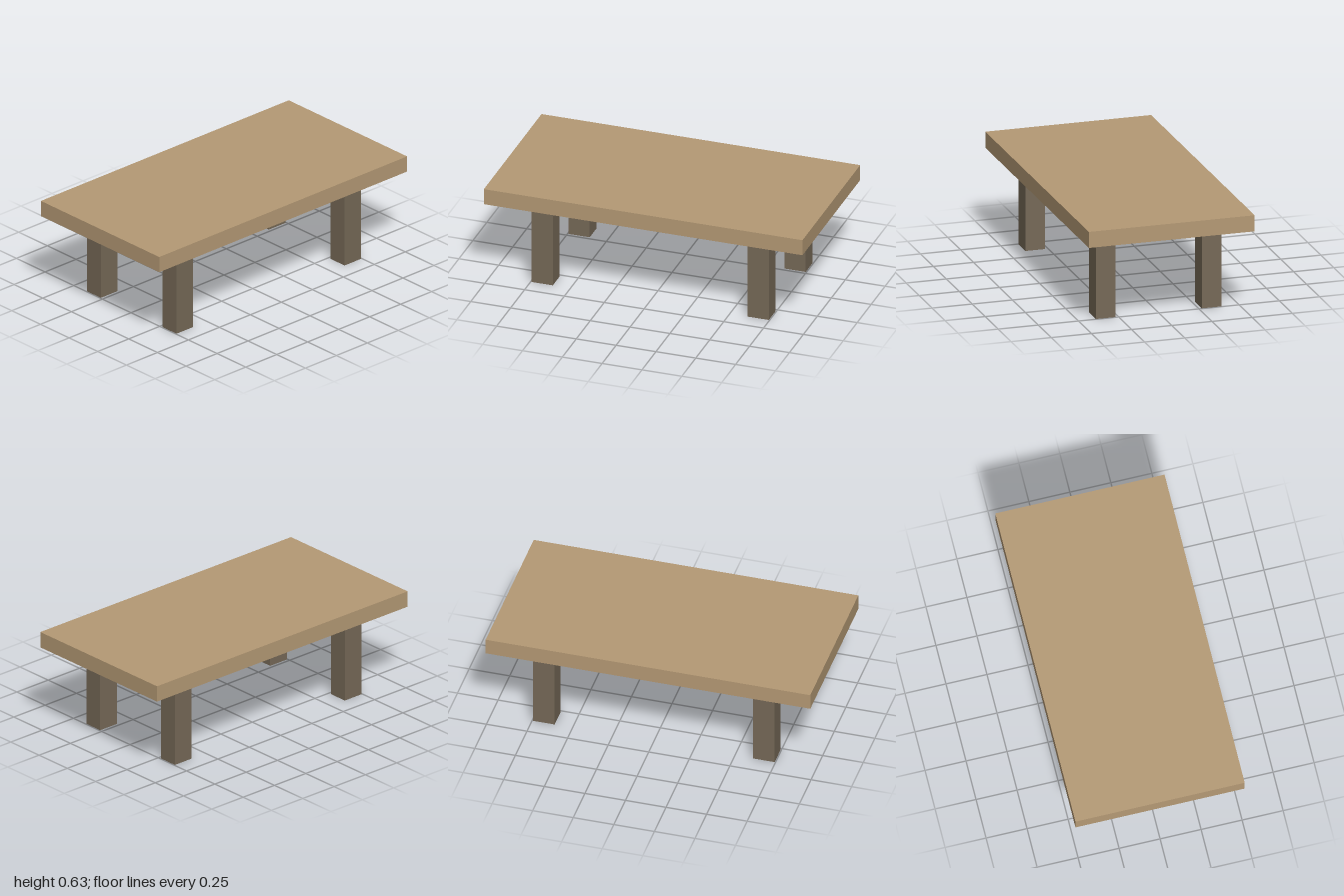
import * as THREE from 'three';

const TOP = { width: 2, height: 0.1, depth: 1.032 };
const LEG = { width: 0.134, height: 0.535, depth: 0.122 };
const LEG_X = 0.678;
const LEG_Z = 0.33;

export function createModel() {
  const table = new THREE.Group();
  table.name = 'table';

  const topMaterial = new THREE.MeshStandardMaterial({ color: 0xb59a75 });
  const legMaterial = new THREE.MeshStandardMaterial({ color: 0x766957 });

  // Plain slab top
  const top = new THREE.Mesh(new THREE.BoxGeometry(TOP.width, TOP.height, TOP.depth), topMaterial);
  top.name = 'tableTop';
  top.position.y = LEG.height + TOP.height / 2;
  table.add(top);

  // Four square-cut legs, inset from the corners
  const legGeometry = new THREE.BoxGeometry(LEG.width, LEG.height, LEG.depth);
  for (const [sx, side] of [[1, 'Left'], [-1, 'Right']]) {
    for (const [sz, end] of [[1, 'front'], [-1, 'back']]) {
      const leg = new THREE.Mesh(legGeometry, legMaterial);
      leg.name = `${end}${side}Leg`;
      leg.position.set(sx * LEG_X, LEG.height / 2, sz * LEG_Z);
      table.add(leg);
    }
  }

  return table;
}
